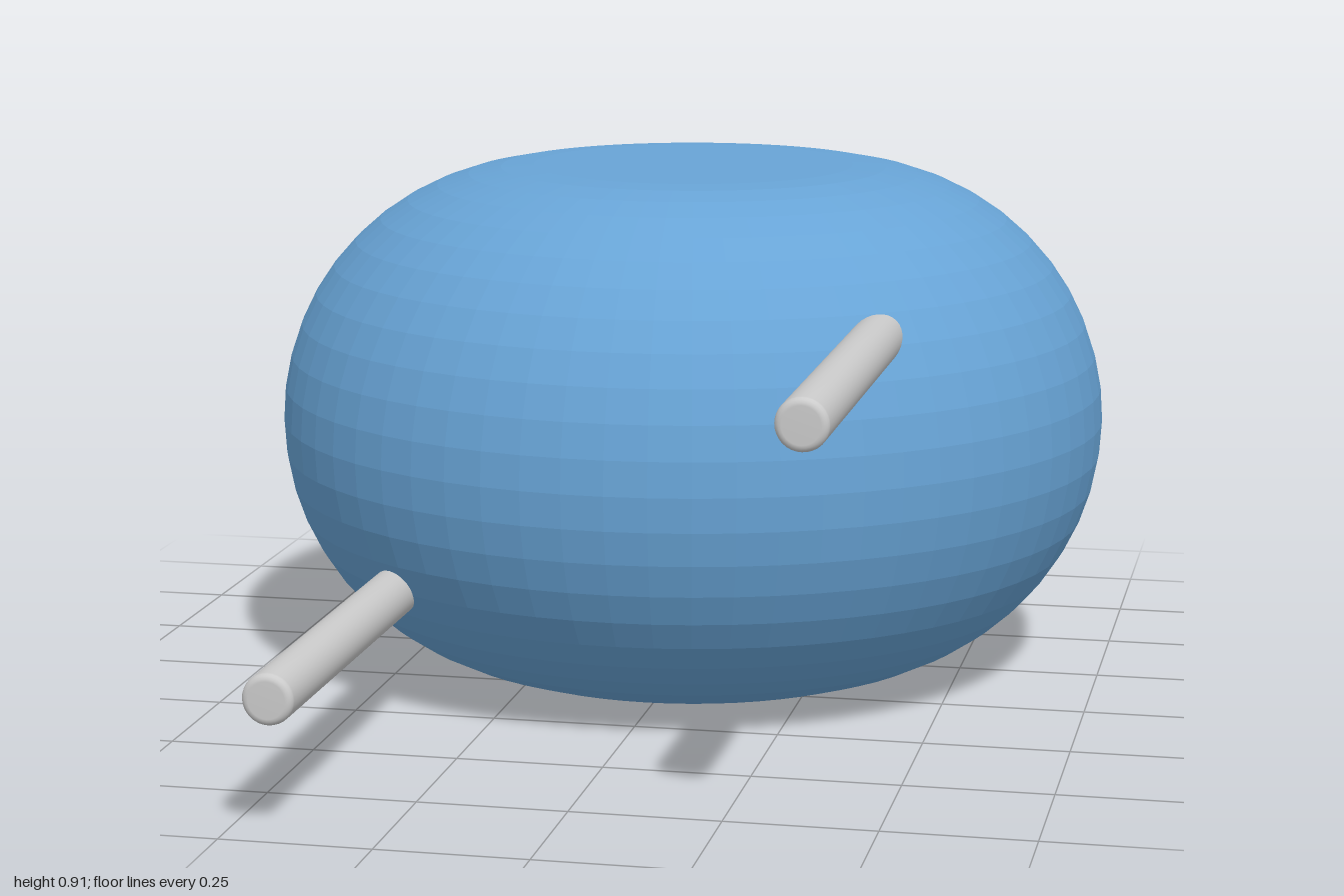
import * as THREE from 'three';

const BODY_Z = -0.255;
const HALF_H = 0.457;
const FLAT_R = 0.288;

// Pill-shaped profile: flat top and bottom discs joined by a half-round side
function bodyGeometry() {
  const steps = 24;
  const profile = [new THREE.Vector2(0, 0)];
  for (let i = 0; i <= steps; i++) {
    const a = -Math.PI / 2 + (Math.PI * i) / steps;
    profile.push(new THREE.Vector2(FLAT_R + HALF_H * Math.cos(a), HALF_H + HALF_H * Math.sin(a)));
  }
  profile.push(new THREE.Vector2(0, 2 * HALF_H));
  return new THREE.LatheGeometry(profile, 64);
}

// Round rod along +z with a softened tip, starting inside the body
function rodGeometry(radius, start, end) {
  const bevel = 0.012;
  const length = end - start;
  const profile = [new THREE.Vector2(0, 0), new THREE.Vector2(radius, 0)];
  for (let i = 0; i <= 4; i++) {
    const a = (i / 4) * (Math.PI / 2);
    profile.push(new THREE.Vector2(radius - bevel + bevel * Math.cos(a), length - bevel + bevel * Math.sin(a)));
  }
  profile.push(new THREE.Vector2(0, length));
  return new THREE.LatheGeometry(profile, 32).rotateX(Math.PI / 2).translate(0, 0, start);
}

export function createModel() {
  const group = new THREE.Group();
  const blue = new THREE.MeshStandardMaterial({ color: 0x68a4d6, flatShading: true });
  const grey = new THREE.MeshStandardMaterial({ color: 0xcccccc });

  const body = new THREE.Mesh(bodyGeometry(), blue);
  body.name = 'body';
  body.position.z = BODY_Z;
  group.add(body);

  // Two diagonally placed rods pointing forward
  const rod = rodGeometry(0.042, 0.2, 1);
  for (const [name, x, y] of [['upperLeftRod', 0.414, 0.692], ['lowerRightRod', -0.416, 0.227]]) {
    const mesh = new THREE.Mesh(rod, grey);
    mesh.name = name;
    mesh.position.set(x, y, 0);
    group.add(mesh);
  }
  return group;
}
